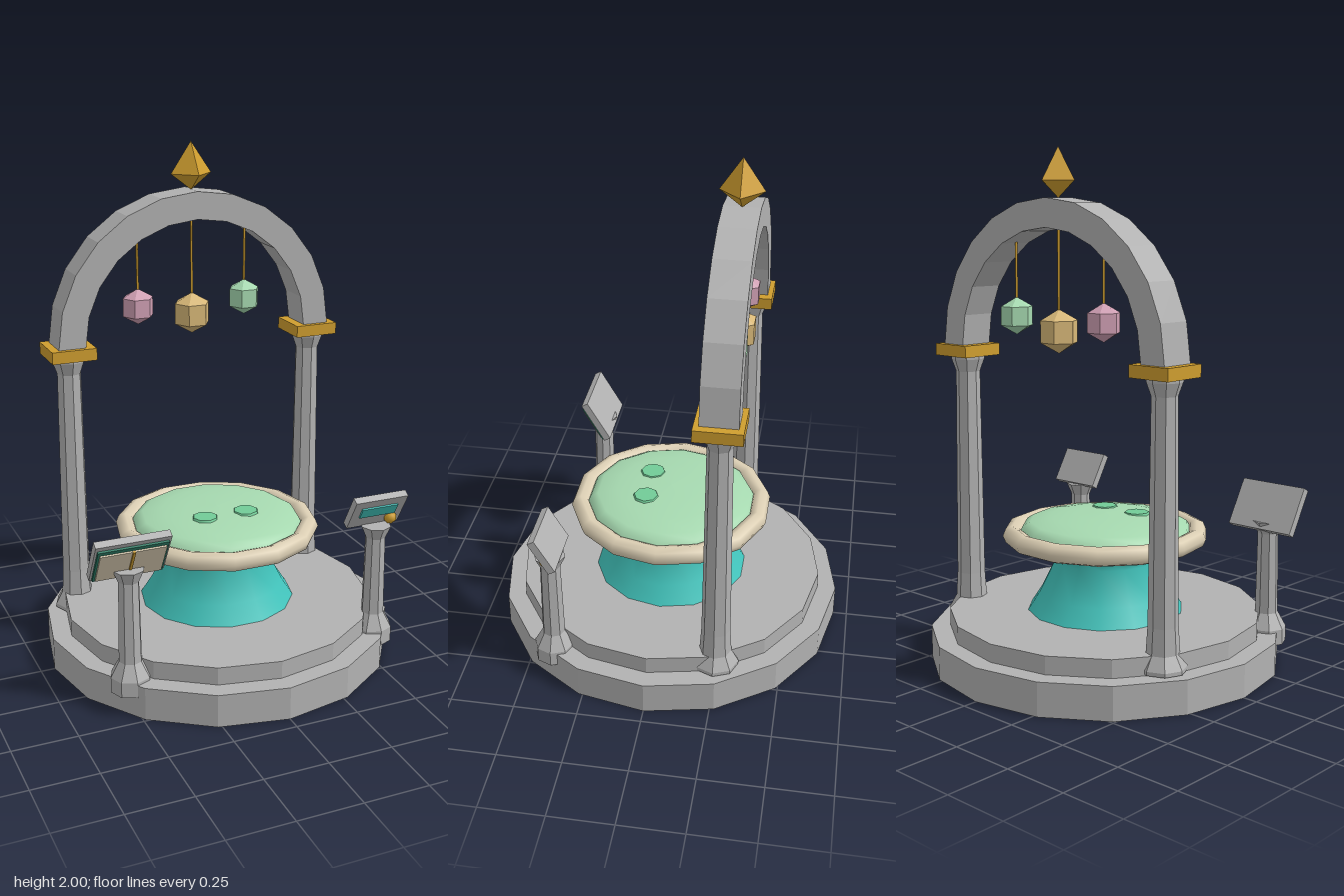
import * as THREE from 'three';

const mat = (name, color, side = THREE.FrontSide) => {
  const m = new THREE.MeshStandardMaterial({ color, side });
  m.name = name;
  return m;
};

// Faceted copy of a geometry
function flat(geo) {
  const g = geo.index ? geo.toNonIndexed() : geo;
  g.computeVertexNormals();
  return g;
}

const lathe = (pts, sides, start = 0) =>
  new THREE.LatheGeometry(pts.map(([r, y]) => new THREE.Vector2(r, y)), sides, start);

export function createModel() {
  const stone = mat('stone grey', 0xb2b2b2, THREE.DoubleSide);
  const gold = mat('gold', 0xcf9e2f);
  const teal = mat('teal', 0x42c4bc, THREE.DoubleSide);
  const cream = mat('cream', 0xdccfb4);
  const mint = mat('mint', 0xa6d9b0);
  const jade = mat('jade', 0x72cb97);
  const pink = mat('pink', 0xd0a0b4);
  const tan = mat('tan', 0xd8b878);
  const darkGreen = mat('dark green', 0x2c7d66);

  const model = new THREE.Group();
  model.name = 'shrine';

  function add(parent, name, geo, material, x = 0, y = 0, z = 0) {
    const mesh = new THREE.Mesh(geo, material);
    mesh.name = name;
    mesh.position.set(x, y, z);
    parent.add(mesh);
    return mesh;
  }
  const box = (w, h, d) => new THREE.BoxGeometry(w, h, d);

  // Hollow two-step platform, open underneath
  add(model, 'platform', flat(lathe(
    [[0.695, 0], [0.695, 0.13], [0.62, 0.13], [0.62, 0.2], [0, 0.2]], 16)), stone);

  // Basin: waisted pedestal, round rim, shallow domed filling
  add(model, 'pedestal', lathe(
    [[0.31, 0.2], [0.265, 0.27], [0.2, 0.4], [0.25, 0.455], [0.35, 0.5]], 14, Math.PI / 2), teal);
  const rim = add(model, 'rim', new THREE.TorusGeometry(0.37, 0.038, 8, 14), cream, 0, 0.505, 0);
  rim.rotation.x = Math.PI / 2;
  add(model, 'dome', lathe(
    [[0.345, 0.51], [0.33, 0.54], [0.3, 0.558], [0.22, 0.573], [0.12, 0.581], [0, 0.584]],
    14, Math.PI / 2), mint);
  for (const x of [-0.087, 0.087]) {
    add(model, 'spot', new THREE.CylinderGeometry(0.048, 0.052, 0.009, 8), jade, x, 0.582, 0.09);
  }

  // Columns with square capitals
  const backZ = -0.255;
  const columnGeo = flat(lathe(
    [[0.09, 0.135], [0.09, 0.15], [0.062, 0.2], [0.056, 0.3], [0.048, 1.13], [0.066, 1.18], [0.066, 1.2]], 8));
  for (const s of [-1, 1]) {
    add(model, 'column', columnGeo, stone, s * 0.518, 0, backZ);
    add(model, 'capital', box(0.178, 0.047, 0.18), gold, s * 0.518, 1.218, backZ);
  }

  // Half-ring arch
  const steps = 12;
  const arch = new THREE.Shape();
  for (let i = 0; i <= steps; i++) {
    const a = Math.PI * i / steps;
    const x = 0.575 * Math.cos(a), y = 0.575 * Math.sin(a);
    if (i) arch.lineTo(x, y); else arch.moveTo(x, y);
  }
  for (let i = steps; i >= 0; i--) {
    const a = Math.PI * i / steps;
    arch.lineTo(0.467 * Math.cos(a), 0.467 * Math.sin(a));
  }
  add(model, 'arch', flat(new THREE.ExtrudeGeometry(arch, { depth: 0.14, bevelEnabled: false })),
    stone, 0, 1.24, backZ - 0.07);

  // Pointed finial
  add(model, 'finial', flat(lathe([[0, 1.813], [0.084, 1.877], [0, 2]], 4)), gold, 0, 0, backZ);

  // Hanging ornaments: x, centre height, radius, top of cord, colour
  for (const [x, y, r, top, m] of [
    [-0.228, 1.368, 0.072, 1.655, pink],
    [0, 1.322, 0.083, 1.715, tan],
    [0.228, 1.368, 0.072, 1.655, mint],
  ]) {
    const start = y + r * 0.95;
    add(model, 'cord', new THREE.CylinderGeometry(0.005, 0.005, top - start, 6), gold,
      x, (top + start) / 2, backZ);
    add(model, 'ornament', flat(new THREE.SphereGeometry(r, 6, 3)), m, x, y, backZ);
  }

  // Lectern posts, each with a forward-leaning slab
  const postGeo = flat(lathe(
    [[0.078, 0.08], [0.078, 0.14], [0.045, 0.2], [0.04, 0.52], [0.061, 0.568], [0, 0.568]], 8));
  function lectern(name, side, w, h, y) {
    add(model, name + 'Post', postGeo, stone, side * 0.51, 0, 0.387);
    const head = new THREE.Group();
    head.name = name;
    head.position.set(side * 0.506, y, 0.39);
    head.rotation.x = Math.PI / 6;
    model.add(head);
    add(head, 'slab', box(w, h, 0.03), stone);
    return head;
  }

  // Open book
  const book = lectern('bookLectern', -1, 0.288, 0.192, 0.62);
  add(book, 'cover', box(0.27, 0.168, 0.009), darkGreen, 0, -0.008, 0.019);
  add(book, 'pages', box(0.252, 0.142, 0.009), cream, 0, -0.012, 0.026);
  add(book, 'bookmark', box(0.01, 0.115, 0.009), gold, 0, 0.004, 0.032);

  // Control panel
  const panel = lectern('panelLectern', 1, 0.226, 0.15, 0.635);
  add(panel, 'screen', box(0.155, 0.05, 0.008), teal, 0, 0.012, 0.018);
  add(panel, 'knob', new THREE.SphereGeometry(0.026, 8, 6), gold, 0.066, -0.04, 0.02);

  return model;
}
